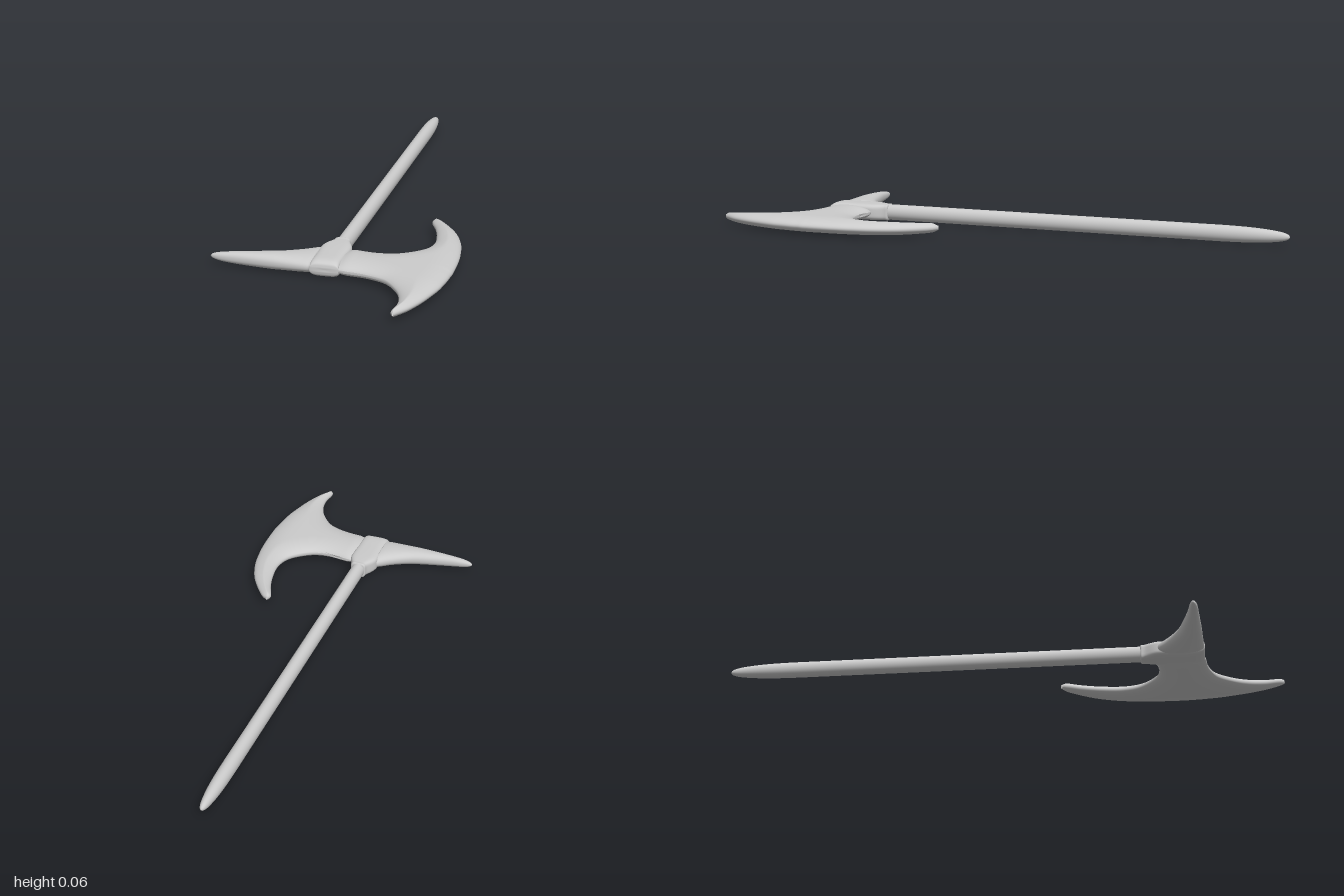
import * as THREE from 'three';
import { mergeVertices } from 'three/addons/utils/BufferGeometryUtils.js';

const MID = 0.03; // height of the plane of symmetry
const material = new THREE.MeshStandardMaterial({ color: 0xcccccc, side: THREE.DoubleSide });

function addMesh(group, name, geometry) {
  const mesh = new THREE.Mesh(geometry, material);
  mesh.name = name;
  mesh.position.y = MID;
  group.add(mesh);
}

function buildGeometry(positions, indices) {
  let geometry = new THREE.BufferGeometry();
  geometry.setAttribute('position', new THREE.Float32BufferAttribute(positions, 3));
  geometry.setIndex(indices);
  geometry = mergeVertices(geometry, 1e-5);
  geometry.computeVertexNormals();
  return geometry;
}

// Smooth loft along z; stations are [z, low x, high x, half height], sections are superellipses
function loft(stations, exponent, steps = 8, sides = 40) {
  const plan = new THREE.CatmullRomCurve3(stations.map(s => new THREE.Vector3(s[1], s[2], s[0])), false, 'catmullrom', 0.5);
  const rise = new THREE.CatmullRomCurve3(stations.map(s => new THREE.Vector3(s[3], 0, s[0])), false, 'catmullrom', 0.5);
  const rows = (stations.length - 1) * steps;
  const positions = [], indices = [];
  const power = v => Math.sign(v) * Math.abs(v) ** (2 / exponent);
  for (let i = 0; i <= rows; i++) {
    const p = plan.getPoint(i / rows);
    const h = Math.max(0, rise.getPoint(i / rows).x);
    const centre = (p.x + p.y) / 2, half = Math.max(0, (p.y - p.x) / 2);
    for (let j = 0; j < sides; j++) {
      const a = j / sides * Math.PI * 2;
      positions.push(centre + half * power(Math.cos(a)), h * power(Math.sin(a)), p.z);
      if (i === rows) continue;
      const k = i * sides, n = (j + 1) % sides;
      indices.push(k + j, k + n, k + sides + j, k + n, k + sides + n, k + sides + j);
    }
  }
  return buildGeometry(positions, indices);
}

// Blade: rows span from the inner to the outer outline, swelling with distance from the edge
function bladeGeometry() {
  // inner x, inner z, outer x, outer z, from the rear horn to the front horn
  const pairs = [
    [0.245, 0.183, 0.25, 0.18], [0.24, 0.205, 0.275, 0.198], [0.263, 0.26, 0.315, 0.25],
    [0.282, 0.33, 0.35, 0.31], [0.29, 0.41, 0.378, 0.39], [0.268, 0.478, 0.392, 0.47],
    [0.2, 0.533, 0.397, 0.52], [0.13, 0.546, 0.399, 0.56], [0.05, 0.537, 0.4, 0.6],
    [0.02, 0.56, 0.4, 0.62], [0.02, 0.62, 0.4, 0.64], [0.02, 0.69, 0.398, 0.66],
    [0.05, 0.71, 0.396, 0.69], [0.13, 0.722, 0.391, 0.73], [0.2, 0.752, 0.385, 0.77],
    [0.25, 0.81, 0.371, 0.825], [0.278, 0.87, 0.353, 0.885], [0.287, 0.93, 0.328, 0.945],
    [0.281, 0.985, 0.303, 0.985], [0.288, 1, 0.292, 1],
  ];
  const curve = o => new THREE.CatmullRomCurve3(pairs.map(p => new THREE.Vector3(p[o], 0, p[o + 1])), false, 'catmullrom', 0.5);
  const rows = (pairs.length - 1) * 8, cols = 28;
  const inner = curve(0).getPoints(rows), outer = curve(2).getPoints(rows);
  const edge = [];
  for (const line of [inner, outer]) {
    for (let i = 0; i < rows; i++) {
      if (line[i].x < 0.03) continue; // the neck end is open inside the collar
      for (let k = 0; k < 3; k++) edge.push(line[i].clone().lerp(line[i + 1], k / 3));
    }
    edge.push(line[rows]);
  }
  const positions = [], indices = [];
  for (const side of [1, -1]) {
    const base = positions.length / 3;
    for (let i = 0; i <= rows; i++) {
      for (let j = 0; j <= cols; j++) {
        const p = inner[i].clone().lerp(outer[i], 0.5 - 0.5 * Math.cos(Math.PI * j / cols));
        const d = Math.sqrt(edge.reduce((m, e) => Math.min(m, e.distanceToSquared(p)), 1));
        const full = Math.min(1, d / 0.085);
        const neck = THREE.MathUtils.clamp(0.85 + (p.x - 0.045) * 10, 0.7, 1);
        p.y = side * 0.0285 * neck * Math.sqrt(1 - (1 - full) ** 2);
        positions.push(p.x, p.y, p.z);
        if (i === rows || j === cols) continue;
        const a = base + i * (cols + 1) + j, b = a + cols + 1;
        if (side > 0) indices.push(a, b, a + 1, b, b + 1, a + 1);
        else indices.push(a, a + 1, b, b, a + 1, b + 1);
      }
    }
  }
  return buildGeometry(positions, indices);
}

export function createModel() {
  const group = new THREE.Group();
  group.name = 'battleAxe';

  // Long round handle with a tapered butt
  addMesh(group, 'handle', loft([
    [-1, -0.003, -0.003, 0], [-0.992, -0.011, 0.005, 0.009], [-0.965, -0.018, 0.012, 0.017],
    [-0.9, -0.025, 0.019, 0.024], [-0.8, -0.028, 0.022, 0.028], [-0.6, -0.028, 0.022, 0.0285],
    [0.1, -0.028, 0.022, 0.0285], [0.55, -0.028, 0.022, 0.0285],
  ], 2));

  // Collar that flares from the handle to hold the head
  addMesh(group, 'collar', loft([
    [0.482, -0.003, -0.003, 0], [0.483, -0.029, 0.023, 0.0275], [0.5, -0.035, 0.029, 0.029],
    [0.545, -0.057, 0.045, 0.03], [0.62, -0.056, 0.044, 0.03], [0.68, -0.056, 0.043, 0.029],
    [0.703, -0.054, 0.042, 0.022], [0.709, -0.05, 0.04, 0.01], [0.709, -0.005, -0.005, 0],
  ], 4));

  // Back spike, lofted along z and then turned to point to -x
  const spike = loft([
    [0.045, 0.62, 0.62, 0], [0.05, 0.55, 0.702, 0.023], [0.06, 0.546, 0.706, 0.028],
    [0.1, 0.577, 0.704, 0.0285], [0.15, 0.606, 0.701, 0.0275], [0.2, 0.625, 0.698, 0.0265],
    [0.3, 0.648, 0.69, 0.021], [0.36, 0.657, 0.685, 0.015], [0.39, 0.663, 0.678, 0.008],
    [0.4, 0.67, 0.67, 0],
  ], 2.3);
  spike.rotateY(-Math.PI / 2);
  addMesh(group, 'backSpike', spike);

  // Crescent blade with its neck
  addMesh(group, 'blade', bladeGeometry());
  return group;
}
